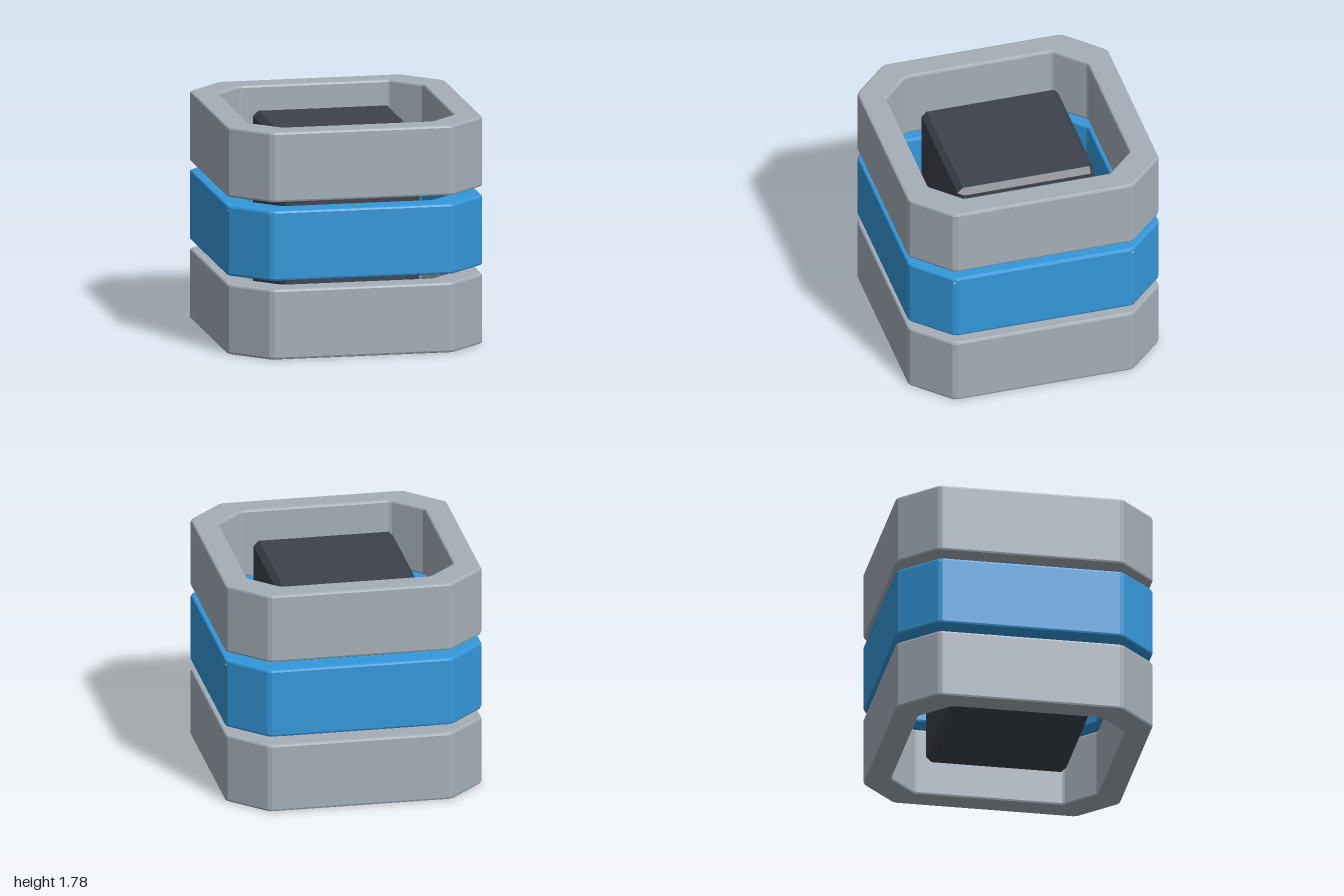
import * as THREE from 'three';
import { ConvexGeometry } from 'three/addons/geometries/ConvexGeometry.js';

const BEVEL = 0.018, RING_H = 0.548, PITCH = 0.614;
const CORE = { x: 0.545, y: 0.75, z: 0.545, mid: 0.888, cut: 0.042 };

// Octagon outline with a small cut on each vertical edge
function octagon(half, flat) {
  const c = 0.016, d = c * Math.SQRT1_2, pts = [];
  for (let i = 0; i < 4; i++) {
    const cs = Math.round(Math.cos(i * Math.PI / 2)), sn = Math.round(Math.sin(i * Math.PI / 2));
    const corner = [[half, flat - c], [half - d, flat + d], [flat + d, half - d], [flat - c, half]];
    for (const [x, y] of corner) pts.push(new THREE.Vector2(x * cs - y * sn, x * sn + y * cs));
  }
  return pts;
}

// Octagonal band with bevelled rims, standing on y = 0
function ringGeometry() {
  const k = BEVEL * Math.tan(Math.PI / 8);
  const shape = new THREE.Shape(octagon(1 - BEVEL, 0.71 - k));
  shape.holes.push(new THREE.Path(octagon(0.802 + BEVEL, 0.58 + k).reverse()));
  const g = new THREE.ExtrudeGeometry(shape, {
    depth: RING_H - 2 * BEVEL, bevelEnabled: true,
    bevelThickness: BEVEL, bevelSize: BEVEL, bevelSegments: 2,
  });
  g.translate(0, 0, BEVEL);
  g.rotateX(-Math.PI / 2);
  return g;
}

// The three points of one chamfered box corner
function boxCorner(sx, sy, sz) {
  const { x, y, z, cut: c } = CORE;
  return [[x, y - c, z - c], [x - c, y, z - c], [x - c, y - c, z]]
    .map(p => new THREE.Vector3(p[0] * sx, p[1] * sy, p[2] * sz));
}

function coreGeometry() {
  const pts = [];
  for (const sx of [-1, 1]) for (const sy of [-1, 1]) for (const sz of [-1, 1]) pts.push(...boxCorner(sx, sy, sz));
  return new ConvexGeometry(pts);
}

export function createModel() {
  const model = new THREE.Group();
  const mat = (name, color, side = THREE.FrontSide) => {
    const m = new THREE.MeshStandardMaterial({ color, side });
    m.name = name;
    return m;
  };
  const grey = mat('ring grey', 0xa5afb9);
  const blue = mat('ring blue', 0x3498db);
  const dark = mat('core dark', 0x3d424d);
  const worn = mat('worn corner grey', 0xa8a8a8, THREE.DoubleSide);

  const add = (name, geometry, material, y) => {
    const mesh = new THREE.Mesh(geometry, material);
    mesh.name = name;
    mesh.position.y = y;
    model.add(mesh);
  };
  const chip = (name, pts, y) =>
    add(name, new THREE.BufferGeometry().setFromPoints(pts).toNonIndexedSafe?.() ?? facet(pts), worn, y);
  const facet = pts => {
    const g = new THREE.BufferGeometry().setFromPoints(pts);
    g.computeVertexNormals();
    return g;
  };

  // Stacked rings
  const ring = ringGeometry();
  add('lowerRing', ring, grey, 0);
  add('middleRing', ring, blue, PITCH);
  add('upperRing', ring, grey, 2 * PITCH);

  // Core block
  add('core', coreGeometry(), dark, CORE.mid);

  // Worn facets on the core corners, wound to face outward
  for (const [sx, sy, sz] of [[-1, 1, -1], [-1, 1, 1], [1, 1, 1], [1, -1, -1], [-1, -1, -1]]) {
    const lift = new THREE.Vector3(sx, sy, sz).multiplyScalar(0.002);
    const pts = boxCorner(sx, sy, sz).map(p => p.add(lift));
    if (sx * sy * sz < 0) pts.reverse();
    chip('coreCornerChip', pts, CORE.mid);
  }

  // Worn facets on the middle ring corners
  const half = RING_H / 2;
  for (const [sx, sy, sz, w] of [[1, 1, 1, 0.05], [1, 1, -1, 0.05], [1, -1, -1, 0.03], [-1, 1, 1, 0.05], [-1, 1, -1, 0.03]]) {
    const top = half - 0.008, low = half - 0.02 - w * 0.5;
    const pts = [[0.996, top, 0.71 - w], [0.996 - w * 0.7, top, 0.71 + w * 0.7], [1.0, low, 0.71]]
      .map(p => new THREE.Vector3(p[0] * sx, p[1] * sy, p[2] * sz));
    if (sx * sy * sz > 0) pts.reverse();
    chip('ringCornerChip', pts, PITCH + half);
  }
  return model;
}
